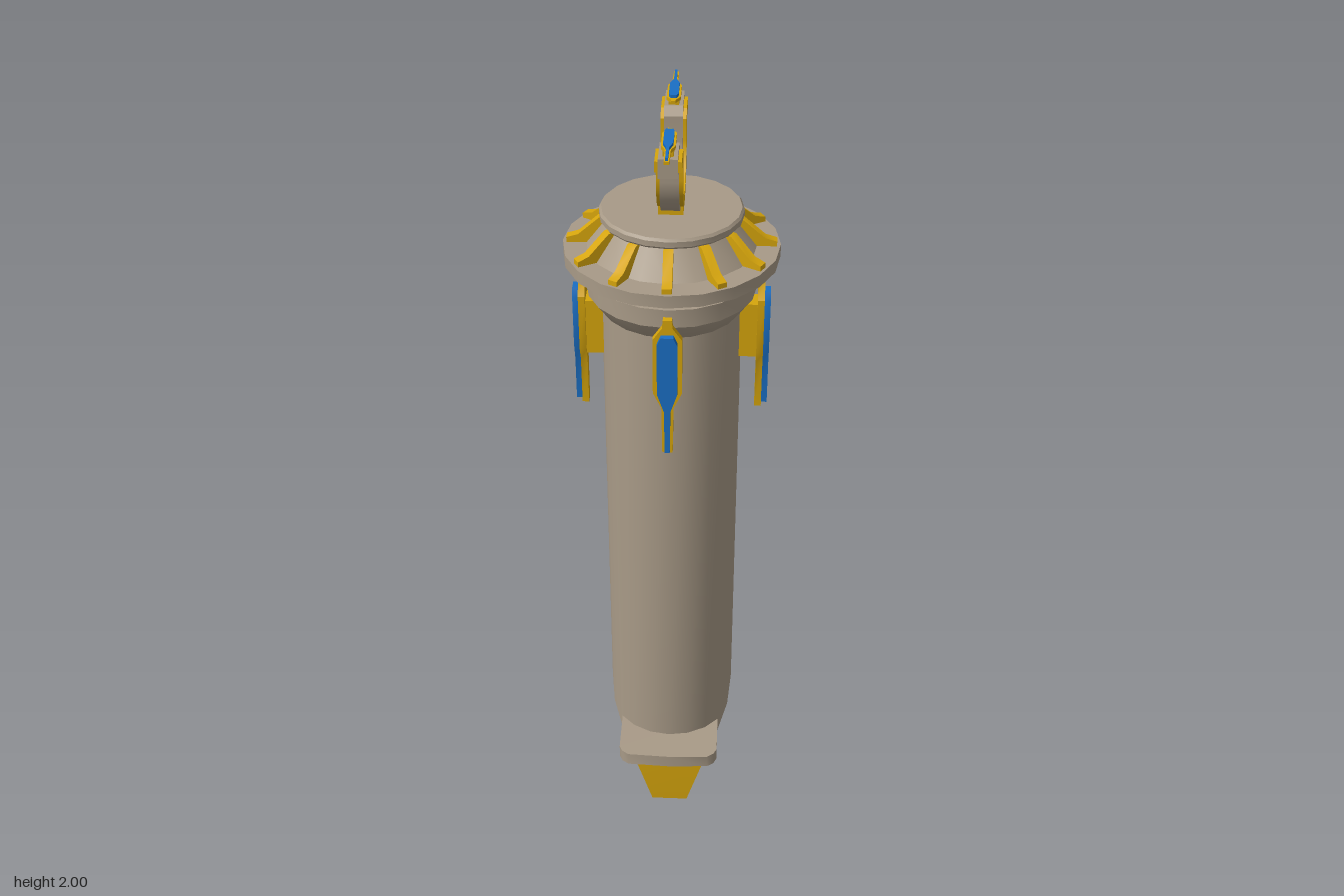
import * as THREE from 'three';
import { toCreasedNormals } from 'three/addons/utils/BufferGeometryUtils.js';

const mat = (color) => new THREE.MeshStandardMaterial({ color, side: THREE.DoubleSide });
const SIDES = 20;

export function createModel() {
  const stone = mat(0xa89a87), gold = mat(0xd6a50c), blue = mat(0x1a6fc4);
  const model = new THREE.Group();
  model.name = 'pillar';

  const add = (parent, name, geometry, material) => {
    const mesh = new THREE.Mesh(toCreasedNormals(geometry, 0.6), material);
    mesh.name = name;
    parent.add(mesh);
    return mesh;
  };
  const polygon = (pts) => new THREE.Shape(pts.map(([x, y]) => new THREE.Vector2(x, y)));
  // Extrude centred on its depth
  const slab = (shape, depth) =>
    new THREE.ExtrudeGeometry(shape, { depth, bevelEnabled: false, curveSegments: 20 }).translate(0, 0, -depth / 2);
  // Mirror a half outline (listed top to bottom) across x = 0
  const mirrored = (half) => polygon([...half, ...half.map(([x, y]) => [-x, y]).reverse()]);

  // Shaft with a slanted cut at the back of its foot
  const shaft = new THREE.CylinderGeometry(0.163, 0.163, 1.32, SIDES).translate(0, 0.9, 0);
  const p = shaft.attributes.position;
  for (let i = 0; i < p.count; i++) {
    if (p.getY(i) < 0.5) p.setY(i, 0.24 + Math.max(0, 0.095 - p.getZ(i)) * 1.17);
  }
  add(model, 'shaft', shaft, stone);

  // Collar, flange, sloped crown and top disc in one turned profile
  const profile = [
    [0.155, 1.525], [0.165, 1.53], [0.197, 1.575], [0.197, 1.62], [0.168, 1.62], [0.168, 1.655],
    [0.248, 1.655], [0.248, 1.685], [0.195, 1.685], [0.145, 1.75], [0.16, 1.752], [0.164, 1.757],
    [0.164, 1.77], [0.159, 1.776], [0, 1.776],
  ].map(([r, y]) => new THREE.Vector2(r, y));
  add(model, 'capital', new THREE.LatheGeometry(profile, SIDES), stone);

  // Twelve ribs on the flange
  const ribShape = polygon([[0.13, 1.67], [0.239, 1.67], [0.239, 1.697], [0.212, 1.705], [0.163, 1.748], [0.13, 1.752]]);
  for (let i = 0; i < 12; i++) {
    add(model, 'rib', slab(ribShape, 0.022), gold).rotation.y = (i * Math.PI) / 6;
  }

  // Fin facing +z: bracket, gold plate and blue inlay
  const plateShape = mirrored([
    [0.01, 0.175], [0.012, 0.155], [0.033, 0.125], [0.033, -0.015], [0.014, -0.055], [0.012, -0.178],
  ]);
  const inlayShape = mirrored([
    [0.014, 0.138], [0.023, 0.118], [0.023, -0.01], [0.007, -0.058], [0.006, -0.17],
  ]);
  const makeFin = (name) => {
    const fin = new THREE.Group();
    fin.name = name;
    add(fin, 'finBracket', new THREE.BoxGeometry(0.05, 0.14, 0.044).translate(0, 0.04, -0.02), gold);
    add(fin, 'finPlate', slab(plateShape, 0.016).translate(0, 0, 0.008), gold);
    add(fin, 'finInlay', slab(inlayShape, 0.016).translate(0, 0, 0.022), blue);
    return fin;
  };

  // Four fins around the shaft
  for (let i = 0; i < 4; i++) {
    const pivot = new THREE.Group();
    pivot.name = 'sideFin';
    const fin = makeFin('fin');
    fin.position.set(0, 1.43, 0.2);
    pivot.add(fin);
    pivot.rotation.y = (i * Math.PI) / 2;
    model.add(pivot);
  }

  // U-shaped yoke with out-turned arms; t is half the band width
  const yokeShape = (t) => {
    const s = new THREE.Shape();
    const inner = 0.1 - t, outer = 0.1 + t, top = 1.95 + t, low = 1.95 - t, end = 0.158 + t;
    s.moveTo(end, top);
    s.lineTo(inner + 0.018, top);
    s.lineTo(inner, top - 0.018);
    s.absarc(0, 1.9, inner, 0, -Math.PI, true);
    s.lineTo(-inner, top - 0.018);
    s.lineTo(-inner - 0.018, top);
    s.lineTo(-end, top);
    s.lineTo(-end, low);
    s.lineTo(-outer, low);
    s.absarc(0, 1.9, outer, Math.PI, Math.PI * 2, false);
    s.lineTo(outer, low);
    s.lineTo(end, low);
    return s;
  };
  add(model, 'yoke', slab(yokeShape(0.022), 0.042).rotateY(Math.PI / 2), stone);
  add(model, 'yokeTrim', slab(yokeShape(0.012), 0.058).rotateY(Math.PI / 2), gold);
  add(model, 'yokeBase', new THREE.BoxGeometry(0.056, 0.03, 0.09).translate(0, 1.785, 0), gold);

  // Small fins lying on the yoke arms
  for (const turn of [0, Math.PI]) {
    const pivot = new THREE.Group();
    pivot.name = 'yokeFin';
    const fin = makeFin('fin');
    fin.scale.setScalar(0.47);
    fin.rotation.x = -Math.PI / 2;
    fin.position.set(0, 1.986, 0.152);
    pivot.add(fin);
    pivot.rotation.y = turn;
    model.add(pivot);
  }

  // Step at the foot
  const stepShape = polygon([
    [-0.13, -0.09], [0.13, -0.09], [0.13, -0.213], [0.122, -0.23], [0.105, -0.242],
    [0, -0.247], [-0.105, -0.242], [-0.122, -0.23], [-0.13, -0.213],
  ]);
  add(model, 'step', slab(stepShape, 0.036).rotateX(-Math.PI / 2).translate(0, 0.26, 0), stone);

  // Spike: flat front, ridged back, lofted through [y, halfWidth, front, edge, ridge]
  const rings = [
    [0, 0.048, 0.138, 0.112, 0.086], [0.16, 0.094, 0.145, 0.113, 0.07], [0.265, 0.094, 0.145, 0.113, 0.073],
  ].map(([y, w, f, e, r]) => [[-w, y, f], [w, y, f], [w, y, e], [0, y, r], [-w, y, e]]);
  const tris = [];
  for (let k = 0; k < 2; k++) {
    for (let i = 0; i < 5; i++) {
      const j = (i + 1) % 5, a = rings[k], b = rings[k + 1];
      tris.push(a[i], a[j], b[j], a[i], b[j], b[i]);
    }
  }
  for (let i = 1; i < 4; i++) {
    tris.push(rings[0][0], rings[0][i + 1], rings[0][i], rings[2][0], rings[2][i], rings[2][i + 1]);
  }
  const spike = new THREE.BufferGeometry();
  spike.setAttribute('position', new THREE.Float32BufferAttribute(tris.flat(), 3));
  add(model, 'spike', spike, gold);

  return model;
}
